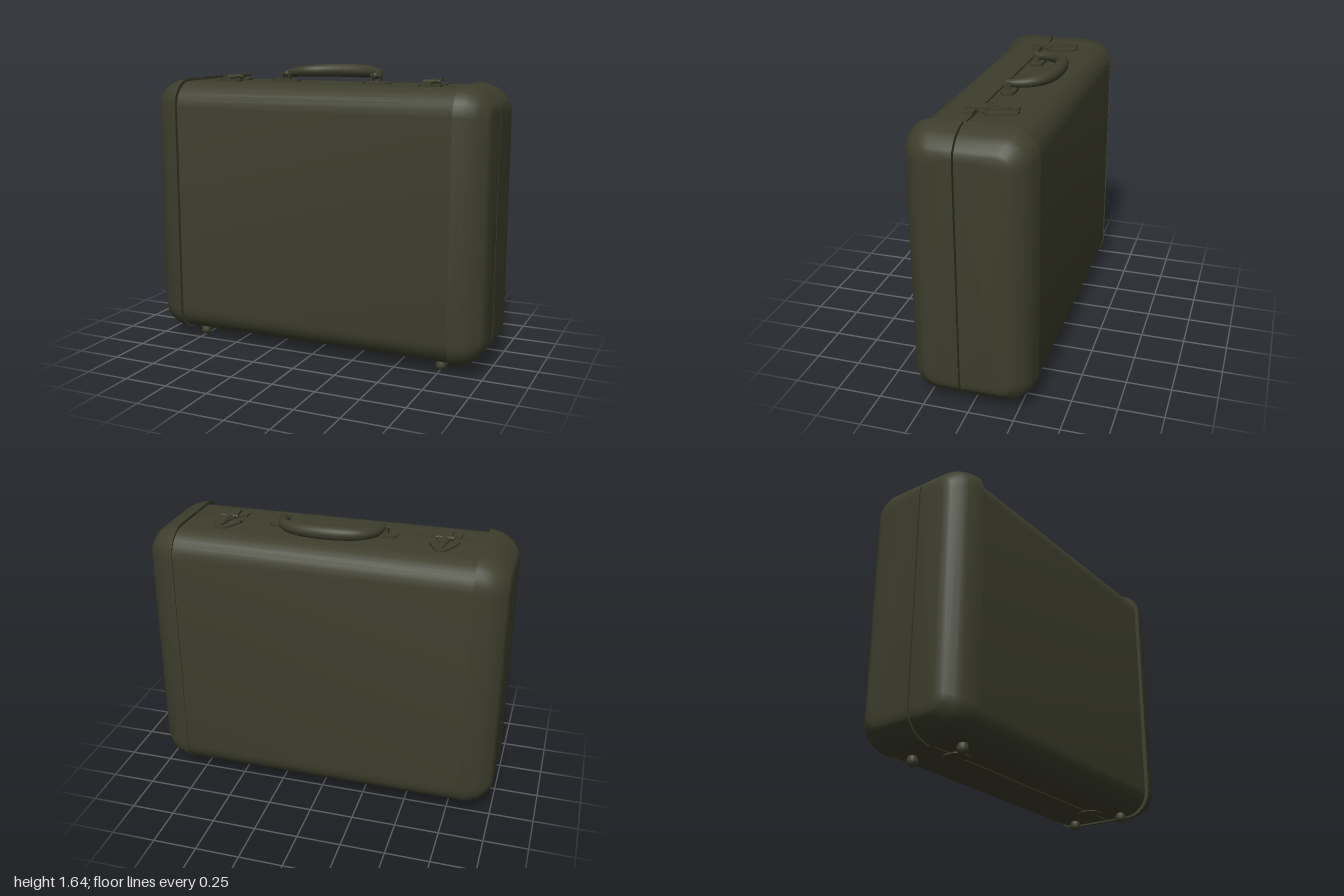
import * as THREE from 'three';
import { toCreasedNormals } from 'three/addons/utils/BufferGeometryUtils.js';

const olive = new THREE.MeshStandardMaterial({ color: 0x3d3e2c });
olive.name = 'dark olive';

const SEAM = 0.043, GAP = 0.005;

function add(parent, name, geometry, x = 0, y = 0, z = 0) {
  const mesh = new THREE.Mesh(geometry, olive);
  mesh.name = name;
  mesh.position.set(x, y, z);
  parent.add(mesh);
  return mesh;
}

// Half of a rounded rectangle, from the seam at the top round to the seam at the bottom
function halfSection({ x, y0, y1, depth, r }, side) {
  const pts = [], seam = SEAM + side * GAP, steps = 6;
  pts.push([x, y1, seam]);
  for (const [cy, start] of [[y1 - r, 0], [y0 + r, Math.PI / 2]]) {
    for (let i = 0; i <= steps; i++) {
      const a = start + (i / steps) * Math.PI / 2;
      pts.push([x, cy + r * Math.cos(a), side * (depth - r + r * Math.sin(a))]);
    }
  }
  pts.push([x, y0, seam]);
  return pts;
}

// Closed skin through sections ordered by rising x
function loft(sections, side) {
  const rings = sections.map(s => halfSection(s, side));
  const n = rings[0].length, last = (rings.length - 1) * n, index = [];
  const tri = (a, b, c) => (side > 0 ? index.push(a, b, c) : index.push(a, c, b));
  for (let i = 0; i < rings.length - 1; i++) {
    for (let j = 0; j < n; j++) {
      const k = (j + 1) % n, a = i * n + j, b = i * n + k;
      tri(a, b, a + n);
      tri(b, b + n, a + n);
    }
  }
  for (let j = 1; j < n - 1; j++) {
    tri(last, last + j, last + j + 1);
    tri(0, j + 1, j);
  }
  const g = new THREE.BufferGeometry();
  g.setAttribute('position', new THREE.Float32BufferAttribute(rings.flat(2), 3));
  g.setIndex(index);
  return toCreasedNormals(g, 0.6);
}

// Thin plate lying flat, outlined by [x, z] points, with its top at y = 0
function plate(points, thickness) {
  const shape = new THREE.Shape(points.map(p => new THREE.Vector2(...p)));
  return new THREE.ExtrudeGeometry(shape, { depth: thickness, bevelEnabled: false }).rotateX(Math.PI / 2);
}

const mirrored = half => [...half, ...half.map(([x, z]) => [-x, z]).reverse()];

function makeShell(side) {
  const half = new THREE.Group();
  half.name = side > 0 ? 'frontShell' : 'backShell';
  const depth = side > 0 ? 0.315 : 0.332;
  const body = x => ({ x, y0: 0.052, y1: 1.54, depth, r: 0.14 });
  add(half, 'bodyPanel', loft([body(-0.84), body(0.84)], side));
  // End caps: [x, inset] steps from the raised rim to the flat end panel
  const steps = [[0.825, 0.012], [0.825, 0], [0.87, 0.008], [0.92, 0.026], [0.955, 0.05],
    [0.98, 0.082], [0.987, 0.09], [0.995, 0.105], [1, 0.14]];
  for (const dir of [-1, 1]) {
    const rings = steps.map(([x, inset]) => ({
      x: dir * x, y0: 0.042 + inset, y1: 1.556 - inset, depth: 0.338 - inset, r: 0.15 - inset * 0.75,
    }));
    add(half, dir > 0 ? 'leftEndCap' : 'rightEndCap', loft(dir > 0 ? rings : rings.reverse(), side));
  }
  return half;
}

function makeLatch(x) {
  const latch = new THREE.Group();
  latch.name = 'latch';
  latch.position.set(x, 1.54, 0);
  // Leaf-shaped base, front catch and hinged lever
  add(latch, 'latchBase', plate(mirrored([[0.02, -0.165], [0.045, -0.13], [0.078, -0.06], [0.078, -0.02],
    [0.045, 0.015], [0.045, 0.033]]), 0.014), 0, 0.012);
  add(latch, 'catchPlate', plate(mirrored([[0.035, 0.05], [0.078, 0.048], [0.08, 0.1], [0.045, 0.092],
    [0.03, 0.105]]), 0.014), 0, 0.012);
  const lever = add(latch, 'lever', plate(mirrored([[0.014, -0.17], [0.02, -0.1], [0.036, -0.03],
    [0.032, 0.06], [0.03, 0.105]]), 0.012), 0, 0.027);
  lever.rotation.x = 0.03;
  add(latch, 'leverPin', new THREE.CylinderGeometry(0.011, 0.011, 0.1, 10).rotateZ(Math.PI / 2), 0, 0.022, -0.01);
  add(latch, 'leverTongue', new THREE.BoxGeometry(0.026, 0.012, 0.1), 0, 0.028, -0.07);
  return latch;
}

function makeHandle() {
  const handle = new THREE.Group();
  handle.name = 'handle';
  // Grip: a bowed tube, thicker towards the middle
  const path = new THREE.CatmullRomCurve3([
    [-0.275, 1.587, -0.005], [-0.27, 1.588, -0.06], [-0.24, 1.593, -0.13], [-0.17, 1.598, -0.185], [0, 1.601, -0.212],
    [0.17, 1.598, -0.185], [0.24, 1.593, -0.13], [0.27, 1.588, -0.06], [0.275, 1.587, -0.005],
  ].map(p => new THREE.Vector3(...p)));
  const segs = 40, sides = 12;
  const grip = new THREE.TubeGeometry(path, segs, 1, sides);
  const pos = grip.attributes.position, v = new THREE.Vector3();
  for (let i = 0; i < pos.count; i++) {
    const t = Math.floor(i / (sides + 1)) / segs;
    const c = path.getPointAt(t);
    v.fromBufferAttribute(pos, i).sub(c).multiplyScalar(0.018 + 0.02 * Math.sin(Math.PI * t) ** 0.8).add(c);
    pos.setXYZ(i, v.x, v.y, v.z);
  }
  grip.computeVertexNormals();
  add(handle, 'grip', grip);
  for (const s of [-1, 1]) {
    const x = s * 0.28;
    add(handle, 'gripEnd', new THREE.SphereGeometry(0.018, 12, 8), s * 0.275, 1.587, -0.005);
    // Mount plate with two upright lugs and a pin
    add(handle, 'mountPlate', plate(mirrored([[0.04, -0.055], [0.065, -0.05], [0.082, -0.025],
      [0.082, -0.005], [0.06, 0.018]]), 0.016), x, 1.556);
    for (const d of [-0.024, 0.024]) {
      add(handle, 'lug', new THREE.BoxGeometry(0.008, 0.05, 0.035), x + d, 1.573, -0.012);
    }
    add(handle, 'mountPin', new THREE.CylinderGeometry(0.009, 0.009, 0.07, 8).rotateZ(Math.PI / 2), x, 1.587, -0.01);
  }
  return handle;
}

export function createModel() {
  const suitcase = new THREE.Group();
  suitcase.name = 'suitcase';
  suitcase.add(makeShell(1), makeShell(-1), makeHandle());

  const footProfile = [[0, 0], [0.016, 0.002], [0.027, 0.012], [0.031, 0.028], [0.026, 0.045], [0.02, 0.06]]
    .map(p => new THREE.Vector2(...p));
  const foot = new THREE.LatheGeometry(footProfile, 14);

  for (const s of [-1, 1]) {
    suitcase.add(makeLatch(s * 0.61 - 0.005));
    for (const z of [0.18, -0.14]) add(suitcase, 'foot', foot, s * 0.75, 0, z);
    // Bottom hinge: two leaves and a barrel
    const hinge = new THREE.Group();
    hinge.name = 'hinge';
    hinge.position.set(s * 0.63, 0.05, SEAM);
    for (const d of [-1, 1]) {
      const leaf = [[0.06, d * 0.006], [0.06, d * 0.03], [0.035, d * 0.06]];
      add(hinge, 'hingeLeaf', plate(mirrored(leaf), 0.008), 0, 0.004);
    }
    add(hinge, 'hingeBarrel', new THREE.CylinderGeometry(0.009, 0.009, 0.12, 10).rotateZ(Math.PI / 2), 0, 0.001);
    suitcase.add(hinge);
  }
  return suitcase;
}
